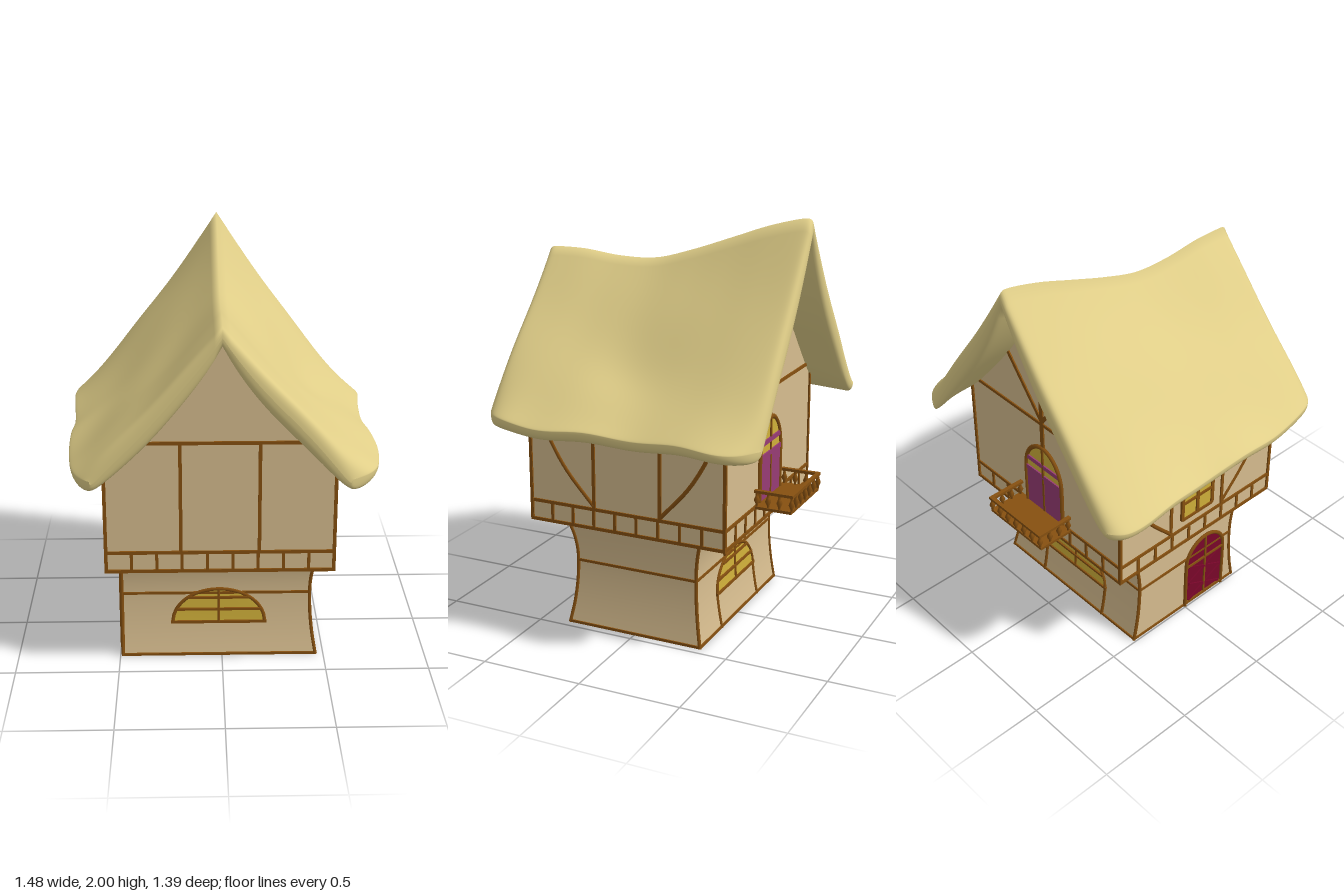
import * as THREE from 'three';

const mat = (color) => new THREE.MeshStandardMaterial({ color, side: THREE.DoubleSide });
const PLASTER = mat(0xd7bd8f), TIMBER = mat(0x865010), THATCH = mat(0xe0ce88);
const GLASS = mat(0xd0b03a), PURPLE = mat(0x983c74), RED = mat(0x7a062a);

function add(parent, name, geometry, material) {
  const m = new THREE.Mesh(geometry, material);
  m.name = name;
  parent.add(m);
  return m;
}

function group(parent, name, angle = 0) {
  const g = new THREE.Group();
  g.name = name;
  g.rotation.y = angle;
  parent.add(g);
  return g;
}

// Straight timber lying on a wall at depth z
function beam(parent, name, x1, y1, x2, y2, z, w = 0.016) {
  const len = Math.hypot(x2 - x1, y2 - y1);
  const m = add(parent, name, new THREE.BoxGeometry(len, w, 0.014), TIMBER);
  m.position.set((x1 + x2) / 2, (y1 + y2) / 2, z);
  m.rotation.z = Math.atan2(y2 - y1, x2 - x1);
  return m;
}

// Bent timber through [x, y, z] points
function bent(parent, name, pts, r = 0.009, n = 16) {
  const curve = new THREE.CatmullRomCurve3(pts.map((p) => new THREE.Vector3(...p)));
  return add(parent, name, new THREE.TubeGeometry(curve, n, r, 5), TIMBER);
}

// Lower storey: walls narrow to a waist at y = 0.33
const waist = (y) => ((y - 0.33) / (y < 0.33 ? 0.33 : 0.21)) ** 2;
const lowZ = (y) => 0.315 + 0.036 * waist(y);
const lowX = (y) => 0.428 + 0.033 * waist(y);
const LEFT = -0.487, LOW_TOP = 0.538;

// Roof rules: ridge height and eave reach vary along z
const HALF = 0.692, EAVE = 1.1;
const spline = (v) => new THREE.SplineCurve(v.map((y, i) => new THREE.Vector2(i, y)));
const ridge = spline([2.0, 1.955, 1.885, 1.815, 1.76, 1.755, 1.775, 1.775]);
const eaveR = spline([0.71, 0.735, 0.715, 0.71, 0.725, 0.74, 0.72, 0.69]);
const eaveL = spline([0.735, 0.74, 0.725, 0.71, 0.715, 0.71, 0.69, 0.66]);
const at = (curve, z) => curve.getPoint(THREE.MathUtils.clamp((z / HALF + 1) / 2, 0, 1)).y;
const roofTop = (s, z) => EAVE + (at(ridge, z) - EAVE) * (1 - Math.min(1, Math.abs(s))) ** 1.24;
const thick = (s) => 0.165 - 0.075 * (1 - Math.abs(s)) ** 8;
// Soft swelling or dent in the thatch around a spot
const swell = (x, z, cx, cz, h, rx, rz) => h * Math.exp(-(((x - cx) / rx) ** 2) - ((z - cz) / rz) ** 2);

function roofGeometry() {
  const nz = 56, nv = 64, pos = [], index = [];
  const ring = 2 * nv;
  for (let j = 0; j <= nz; j++) {
    const q = Math.sin((j / nz - 0.5) * Math.PI), z = q * HALF;
    const round = Math.sqrt(Math.max(0, 1 - Math.abs(q) ** 60));
    for (let k = 0; k < ring; k++) {
      const v = k <= nv ? (2 * k) / nv - 1 : 3 - (2 * k) / nv;
      const s = Math.sin((v * Math.PI) / 2), a = Math.abs(s);
      const corner = s > 0 ? 0.115 * Math.abs(q) ** 13 : 0.07 * Math.abs(q) ** 18;
      const reach = at(s > 0 ? eaveR : eaveL, z) - corner;
      const x = Math.sign(s) * (a * 0.72 + a ** 4 * (reach - 0.72)) - 0.006;
      const t = thick(s), d = t * Math.sqrt(Math.max(0, 1 - a ** 6));
      const lump = 0.04 * a * (1 - a) * Math.sin(7 * z + 4 * x + 1) * Math.sin(9 * x - 2 * z)
        + swell(x, z, -0.38, -0.55, 0.03, 0.16, 0.3) + swell(x, z, 0.4, 0.02, -0.03, 0.14, 0.2);
      const mid = roofTop(s, z) - d / 2 - (t - d) / 6 + lump + 0.008 * a ** 4 * Math.sin(13 * z);
      pos.push(x, mid + (k <= nv ? 0.5 : -0.5) * d * round, z);
    }
  }
  for (let j = 0; j < nz; j++) for (let k = 0; k < ring; k++) {
    const a = j * ring + k, b = j * ring + ((k + 1) % ring);
    index.push(a, a + ring, b, b, a + ring, b + ring);
  }
  const g = new THREE.BufferGeometry();
  g.setAttribute('position', new THREE.Float32BufferAttribute(pos, 3));
  g.setIndex(index);
  g.computeVertexNormals();
  return g;
}

// Arch-topped shape; foot = height of the straight part
function archShape(r, rise, foot) {
  const s = new THREE.Shape();
  s.moveTo(-r, 0);
  s.lineTo(r, 0);
  if (foot > 0) s.lineTo(r, foot);
  s.absellipse(0, foot, r, rise, 0, Math.PI, false);
  return s;
}
const archPoints = (cx, y, r, rise, zAt, foot = 0) => {
  const p = foot ? [[cx + r, y - foot, zAt(y - foot)]] : [];
  for (let i = 0; i <= 14; i++) {
    const t = (i / 14) * Math.PI, py = y + rise * Math.sin(t);
    p.push([cx + r * Math.cos(t), py, zAt(py)]);
  }
  if (foot) p.push([cx - r, y - foot, zAt(y - foot)]);
  return p;
};

// Half-moon window on the curved lower wall
function halfMoon(parent, cx) {
  const w = group(parent, 'halfMoonWindow'), y0 = 0.173, r = 0.225, rise = 0.175;
  const zAt = (y) => lowZ(y) + 0.003;
  const pane = new THREE.ShapeGeometry(archShape(r, rise, 0), 16);
  const p = pane.attributes.position;
  for (let i = 0; i < p.count; i++) p.setXYZ(i, p.getX(i) + cx, p.getY(i) + y0, zAt(p.getY(i) + y0));
  pane.computeVertexNormals();
  add(w, 'pane', pane, GLASS);
  bent(w, 'archFrame', archPoints(cx, y0, r, rise, zAt), 0.009, 32);
  beam(w, 'sill', cx - r - 0.01, y0, cx + r + 0.01, y0, zAt(y0), 0.014);
  bent(w, 'mullion', [0, 0.06, 0.12, 0.175].map((d) => [cx, y0 + d, zAt(y0 + d) + 0.002]), 0.007);
  for (const d of [0.068, 0.13]) {
    const half = r * Math.sqrt(1 - (d / rise) ** 2);
    beam(w, 'glazingBar', cx - half, y0 + d, cx + half, y0 + d, zAt(y0 + d) + 0.003, 0.012);
  }
}

function lowerStorey(root) {
  const g = group(root, 'lowerStorey');
  const corner = [(y) => [lowX(y), lowZ(y)], (y) => [lowX(y), -lowZ(y)], (y) => [LEFT, -lowZ(y)], (y) => [LEFT, lowZ(y)]];
  const ys = [0, 0.11, 0.22, 0.33, 0.4, 0.47, LOW_TOP];
  corner.forEach((a, i) => {
    const b = corner[(i + 1) % 4];
    const wall = new THREE.PlaneGeometry(1, LOW_TOP, 1, 10), p = wall.attributes.position;
    for (let k = 0; k < p.count; k++) {
      const y = p.getY(k) + LOW_TOP / 2, [x, z] = (p.getX(k) < 0 ? a : b)(y);
      p.setXYZ(k, x, y, z);
    }
    wall.computeVertexNormals();
    add(g, 'lowerWall', wall, PLASTER);
    bent(g, 'cornerPost', ys.map((y) => [a(y)[0], y, a(y)[1]]), 0.009);
    for (const y of [0.007, 0.327]) {
      const [ax, az] = a(y), [bx, bz] = b(y);
      const rail = add(g, 'wallRail', new THREE.BoxGeometry(Math.hypot(bx - ax, bz - az), 0.013, 0.012), TIMBER);
      rail.position.set((ax + bx) / 2, y, (az + bz) / 2);
      rail.rotation.y = Math.atan2(az - bz, bx - ax);
    }
  });
  halfMoon(group(g, 'frontWindow'), -0.015);
  // Back window with legs and brackets
  const back = group(g, 'backWindow', Math.PI);
  halfMoon(back, 0.02);
  for (const s of [-1, 1]) {
    bent(back, 'windowLeg', [0, 0.09, 0.18].map((y) => [0.02 + s * 0.225, y, lowZ(y)]));
    bent(back, 'bracket', [[0.12, 0.34], [0.18, 0.44], [0.24, 0.535]].map(([x, y]) => [0.02 + s * x, y, lowZ(y) + 0.002]), 0.011);
  }
  // Arched door on the right-hand wall
  const door = group(g, 'door', -Math.PI / 2), cx = 0.135, z = -LEFT + 0.005;
  add(door, 'doorPanel', new THREE.ShapeGeometry(archShape(0.13, 0.135, 0.28), 16), RED).position.set(cx, 0, z);
  bent(door, 'doorFrame', archPoints(cx, 0.28, 0.13, 0.135, () => z, 0.28), 0.011, 48);
  for (const y of [0.02, 0.27]) beam(door, 'doorRail', cx - 0.13, y, cx + 0.13, y, z, 0.012);
  beam(door, 'doorSplit', cx, 0.02, cx, 0.405, z, 0.01);
  for (const s of [-1, 1]) for (const y of [0.03, 0.15])
    beam(door, 'doorCross', cx - s * 0.11, y, cx + s * 0.11, y + 0.11, z, 0.012).material = RED;
}

const X0 = -0.545, X1 = 0.52, ZF = 0.51, ZB = -0.497, WALL_TOP = 1.15;

function upperStorey(root) {
  const g = group(root, 'upperStorey');
  for (const [name, z] of [['frontGable', ZF], ['backGable', ZB]]) {
    const s = new THREE.Shape();
    s.moveTo(X0, LOW_TOP);
    s.lineTo(X1, LOW_TOP);
    for (let i = 0; i <= 24; i++) {
      const x = X1 + ((X0 - X1) * i) / 24;
      s.lineTo(x, roofTop(x / 0.72, z) - 0.08);
    }
    add(g, name, new THREE.ShapeGeometry(s), PLASTER).position.z = z;
  }
  for (const x of [X0, X1]) {
    const w = add(g, 'sideWall', new THREE.PlaneGeometry(ZF - ZB, WALL_TOP - LOW_TOP), PLASTER);
    w.rotation.y = Math.sign(x) * Math.PI / 2;
    w.position.set(x, (LOW_TOP + WALL_TOP) / 2, (ZF + ZB) / 2);
  }
  const floor = add(g, 'overhangFloor', new THREE.PlaneGeometry(X1 - X0, ZF - ZB), PLASTER);
  floor.rotation.x = Math.PI / 2;
  floor.position.set((X0 + X1) / 2, LOW_TOP, (ZF + ZB) / 2);

  // Each face: angle, local x range, depth
  const faces = [['front', 0, X0, X1, ZF], ['left', Math.PI / 2, -ZF, -ZB, X1],
    ['back', Math.PI, -X1, -X0, -ZB], ['right', -Math.PI / 2, ZB, ZF, -X0]];
  for (const [name, angle, a, b, d] of faces) {
    const f = group(g, name + 'Timbers', angle);
    for (const y of [0.545, 0.64]) beam(f, 'bandRail', a, y, b, y, d);
    const n = Math.round((b - a) / 0.118);
    for (let i = 1; i < n; i++) {
      const x = a + ((b - a) * i) / n;
      beam(f, 'bandStud', x, 0.545, x, 0.64, d, 0.014);
    }
    for (const x of [a, b]) beam(f, 'cornerPost', x, LOW_TOP, x, WALL_TOP, d);
    if (name === 'front') {
      beam(f, 'tieBeam', -0.45, 1.185, 0.44, 1.185, d);
      for (const x of [-0.195, 0.17]) beam(f, 'post', x, 0.64, x, 1.185, d);
    } else if (name === 'back') {
      beam(f, 'tieBeam', -0.49, 1.185, 0.5, 1.185, d);
      beam(f, 'kingPost', 0.01, 1.04, 0.01, 1.85, d, 0.024);
      for (const s of [-1, 1]) beam(f, 'gableBrace', 0.01, 1.2, 0.01 + s * 0.26, 1.53, d, 0.02);
      balconyDoor(f, 0.01, d + 0.005);
    } else {
      for (const s of [-1, 1]) {
        beam(f, 'post', s * 0.172, 0.64, s * 0.172, WALL_TOP, d);
        bent(f, 'curvedBrace', [[s * 0.175, 0.655, d], [s * 0.32, 0.82, d], [s * 0.41, 0.97, d], [s * 0.48, 1.13, d]], 0.01);
      }
      if (name === 'right') sideWindow(f, 0, d + 0.005);
    }
  }
}

function sideWindow(parent, cx, z) {
  const w = group(parent, 'sideWindow');
  add(w, 'pane', new THREE.PlaneGeometry(0.2, 0.31), GLASS).position.set(cx, 0.855, z);
  for (const x of [-0.1, 0, 0.1]) beam(w, 'windowUpright', cx + x, 0.7, cx + x, 1.01, z, 0.018);
  for (const y of [0.7, 0.8, 0.9, 1.01]) beam(w, 'windowBar', cx - 0.1, y, cx + 0.1, y, z, 0.014);
}

function balconyDoor(parent, cx, z) {
  const w = group(parent, 'balconyDoor'), r = 0.13, spring = 0.86;
  add(w, 'glass', new THREE.ShapeGeometry(archShape(r, 0.18, spring - 0.64), 16), GLASS).position.set(cx, 0.64, z);
  add(w, 'doorLeaves', new THREE.PlaneGeometry(2 * r, 0.22), PURPLE).position.set(cx, 0.75, z + 0.004);
  bent(w, 'archFrame', archPoints(cx, spring, r, 0.18, () => z, 0.22), 0.012, 48);
  beam(w, 'doorSplit', cx, 0.64, cx, 1.04, z, 0.012);
  for (const [y, h] of [[0.865, 0.13], [0.93, 0.12]])
    beam(w, 'glazingBar', cx - h, y, cx + h, y, z, 0.024).material = PURPLE;
}

function balcony(root) {
  const g = group(root, 'balcony');
  const x0 = -0.19, x1 = 0.17, z0 = -0.5, z1 = -0.685, mid = (x0 + x1) / 2;
  const box = (name, w, h, d, x, y, z) => add(g, name, new THREE.BoxGeometry(w, h, d), TIMBER).position.set(x, y, z);
  box('balconyFloor', x1 - x0 + 0.02, 0.014, 0.19, mid, 0.642, (z0 + z1) / 2);
  box('frontHandrail', x1 - x0 + 0.02, 0.014, 0.02, mid, 0.722, z1);
  for (const x of [x0, x1]) box('sideHandrail', 0.02, 0.014, 0.19, x, 0.722, (z0 + z1) / 2);
  const profile = [[0.006, 0], [0.006, 0.012], [0.015, 0.032], [0.008, 0.05], [0.006, 0.06], [0.009, 0.073]];
  const turned = new THREE.LatheGeometry(profile.map((p) => new THREE.Vector2(...p)), 10);
  const spots = [];
  for (let i = 0; i <= 6; i++) spots.push([x0 + ((x1 - x0) * i) / 6, z1]);
  for (const x of [x0, x1]) for (let i = 0; i < 3; i++) spots.push([x, z0 - 0.01 - i * 0.057]);
  for (const [x, z] of spots) add(g, 'baluster', turned, TIMBER).position.set(x, 0.647, z);
}

export function createModel() {
  const root = new THREE.Group();
  root.name = 'cottage';
  lowerStorey(root);
  upperStorey(root);
  balcony(root);
  add(root, 'thatchedRoof', roofGeometry(), THATCH);
  return root;
}
